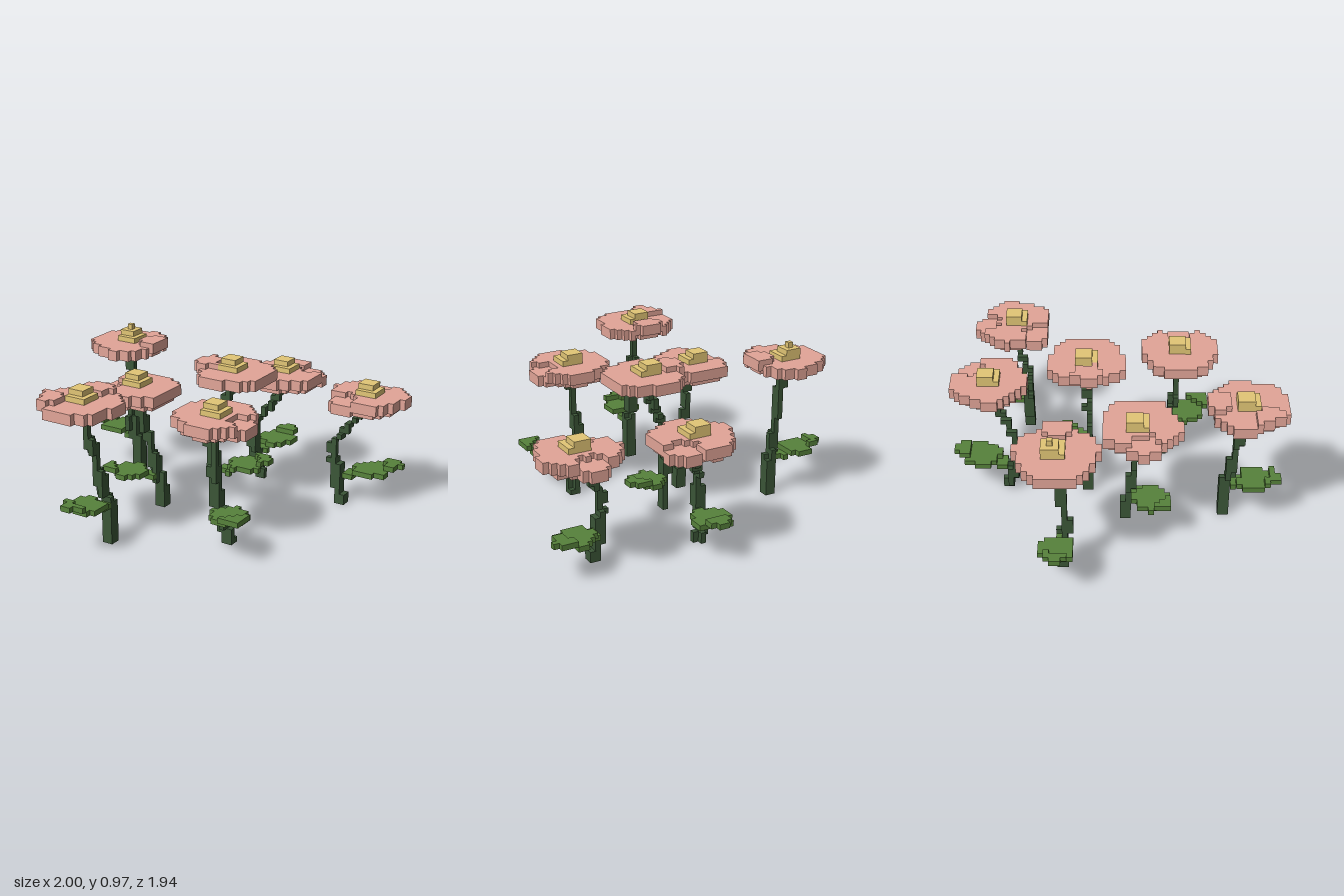
import * as THREE from 'three';

const V = 1 / 31; // edge length of one cube

const petalMat = new THREE.MeshStandardMaterial({ color: 0xe2a598 });
const centreMat = new THREE.MeshStandardMaterial({ color: 0xe2c676 });
const leafMat = new THREE.MeshStandardMaterial({ color: 0x57823b });
const stemMat = new THREE.MeshStandardMaterial({ color: 0x3b5637 });
petalMat.name = 'petal pink';
centreMat.name = 'pollen yellow';
leafMat.name = 'leaf green';
stemMat.name = 'stem dark green';

// Fill a box of cells wherever the rule holds for the cell centre
function fill(min, max, rule) {
  const cells = new Map();
  for (let x = Math.floor(min[0]); x < max[0]; x++)
    for (let y = Math.floor(min[1]); y < max[1]; y++)
      for (let z = Math.floor(min[2]); z < max[2]; z++)
        if (rule(x + 0.5, y, z + 0.5)) cells.set(`${x},${y},${z}`, [x, y, z]);
  return cells;
}

// Mesh made from the exposed faces of a set of cells
function cubes(name, cells, material) {
  const pos = [], nor = [], index = [];
  for (const c of cells.values())
    for (let axis = 0; axis < 3; axis++)
      for (const side of [0, 1]) {
        const n = [0, 0, 0];
        n[axis] = side * 2 - 1;
        if (cells.has(c.map((v, i) => v + n[i]).join())) continue;
        const u = (axis + 1) % 3, w = (axis + 2) % 3, k = pos.length / 3;
        for (const [a, b] of [[0, 0], [1, 0], [1, 1], [0, 1]]) {
          const p = [...c];
          p[axis] += side;
          p[u] += a;
          p[w] += b;
          pos.push(...p.map(v => v * V));
          nor.push(...n);
        }
        index.push(...(side ? [k, k + 1, k + 2, k, k + 2, k + 3] : [k, k + 2, k + 1, k, k + 3, k + 2]));
      }
  const g = new THREE.BufferGeometry();
  g.setAttribute('position', new THREE.Float32BufferAttribute(pos, 3));
  g.setAttribute('normal', new THREE.Float32BufferAttribute(nor, 3));
  g.setIndex(index);
  const mesh = new THREE.Mesh(g, material);
  mesh.name = name;
  return mesh;
}

// Blossom: scalloped disc two or three cells deep; petals at the odd angles take the other depth
function blossom([cx, y0, cz], depth, odd) {
  return fill([cx - 9, y0, cz - 9], [cx + 9, y0 + 3, cz + 9], (x, y, z) => {
    const d = Math.hypot(x - cx, z - cz), a = Math.atan2(z - cz, x - cx);
    const isOdd = d > 3.2 && odd.some(o => Math.cos(a - o) > 0.88);
    const layers = isOdd ? 5 - depth : depth;
    const inset = y === y0 && layers === 3 ? 1.3 : 0;
    return y - y0 < layers && d < 7 + 0.35 * Math.cos(5 * (a - odd[0])) - inset;
  });
}

// Stepped pollen cushion on top of the blossom, sometimes with a single cell as a spire
function cushion([hx, y0, hz], depth, spire) {
  const cx = Math.ceil(hx - 0.5), cz = Math.ceil(hz - 0.5), flat = y0 + depth;
  return fill([cx - 2, flat, cz - 2], [cx + 2, flat + (spire ? 3 : 2), cz + 2], (x, y, z) => {
    const [lo, hi] = [[-2, 2], [-2, 1], [-1, 0]][y - flat];
    return [x - cx, z - cz].every(v => v > lo && v < hi);
  });
}

// Point of a bent path at height y
function pathAt(path, y) {
  let i = 0;
  while (i < path.length - 2 && y > path[i + 1][1]) i++;
  const [p, q] = [path[i], path[i + 1]], t = (y - p[1]) / (q[1] - p[1]);
  return p.map((v, k) => v + (q[k] - v) * t);
}

// Stem: column along the path, thinner in its upper half
function stem(path) {
  const top = path[path.length - 1][1];
  const xs = path.map(p => p[0]), zs = path.map(p => p[2]);
  return fill([Math.min(...xs) - 3, 0, Math.min(...zs) - 3], [Math.max(...xs) + 3, top, Math.max(...zs) + 3],
    (x, y, z) => {
      const [px, , pz] = pathAt(path, y + 0.5);
      return Math.hypot(x - px, z - pz) < (y < top * 0.45 ? 1.05 : 0.78);
    });
}

// Leaf: thin pointed blade from the stem to its tip, climbing two steps
function leaf([ax, ay, az], [bx, by, bz]) {
  const dx = bx - ax, dz = bz - az, len = Math.hypot(dx, dz);
  return fill([Math.min(ax, bx) - 4, ay, Math.min(az, bz) - 4], [Math.max(ax, bx) + 4, by + 1, Math.max(az, bz) + 4],
    (x, y, z) => {
      const t = ((x - ax) * dx + (z - az) * dz) / (len * len);
      const s = Math.abs((x - ax) * dz - (z - az) * dx) / len;
      if (t < 0 || t > 1) return false;
      const half = 0.6 + 2.5 * Math.sin(Math.PI * t ** 1.2);
      return s < half && y === Math.round(ay + (by - ay) * t);
    });
}

// Points in cells: blossom underside, stem base and bends, leaf tip
const flowers = [
  { head: [-23, 25, -9.5], depth: 2, odd: [0], spire: true, bends: [[-21, 0, -9], [-21, 6, -9], [-22.3, 10, -8.3]], tip: [-31, 9, -10.5] },
  { head: [4.5, 19, -23], depth: 3, odd: [-0.8], bends: [[0.6, 0, -20], [0, 8, -18], [0.5, 12, -18.5]], tip: [2.5, 7, -30] },
  { head: [23.6, 19, -19.4], depth: 3, odd: [-1.6, 2.2], bends: [[20, 0, -17], [18.5, 8, -17], [18, 12, -16.3]], tip: [29.5, 7, -23] },
  { head: [3.5, 25, -5], depth: 2, odd: [3.1], bends: [[-0.5, 0, -5], [-0.5, 7, -5], [-2, 13, -4.5]], tip: [8.7, 8, -10] },
  { head: [-11.5, 21, 4.5], depth: 3, odd: [3], bends: [[-8, 0, 2], [-8, 5, 2.5]], tip: [-16, 8, 10] },
  { head: [10, 22, 12], depth: 3, odd: [0], bends: [[11, 0, 9], [9.5, 7, 10], [9, 13, 11]], tip: [17.5, 8, 17.5] },
  { head: [-10, 25, 23], depth: 2, odd: [-1.6, 2.5], bends: [[-7, 0, 20], [-7, 6, 20]], tip: [-9, 9, 30] },
];

export function createModel() {
  const model = new THREE.Group();
  model.name = 'flowerPatch';
  flowers.forEach(({ head, depth, odd, spire, bends, tip }, i) => {
    const path = [...bends, head];
    const flower = new THREE.Group();
    flower.name = `flower${i + 1}`;
    flower.add(
      cubes('stem', stem(path), stemMat),
      cubes('leaf', leaf(pathAt(path, tip[1] - 2), tip), leafMat),
      cubes('petals', blossom(head, depth, odd), petalMat),
      cubes('pollenCushion', cushion(head, depth, spire), centreMat),
    );
    model.add(flower);
  });
  return model;
}
